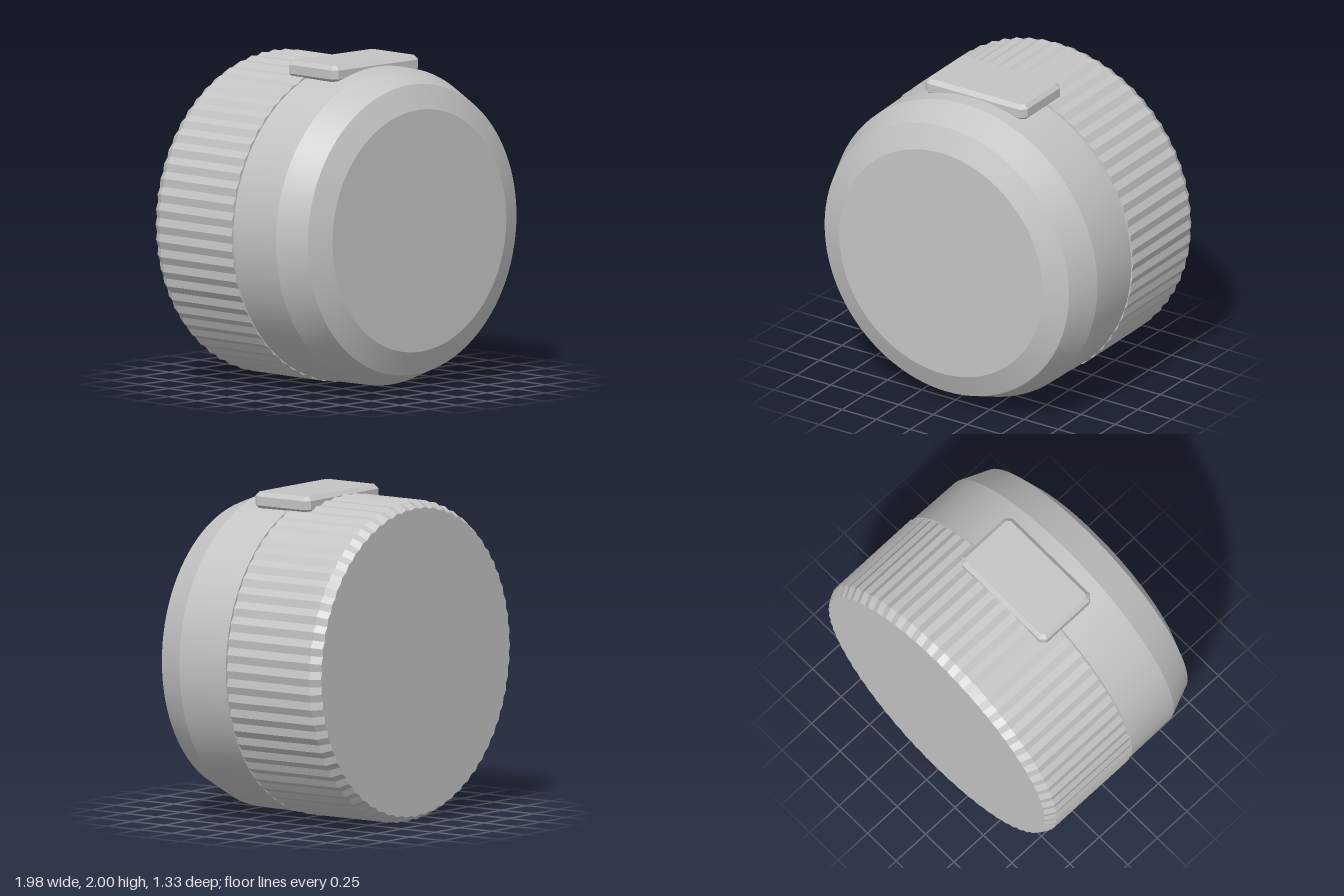
import * as THREE from 'three';
import { toCreasedNormals } from 'three/addons/utils/BufferGeometryUtils.js';

const CENTRE_Y = 0.99;

// Turn a [radius, z] profile (back to front) around the z axis.
function turned(profile, segments) {
  const points = profile.map(([r, z]) => new THREE.Vector2(r, z));
  return new THREE.LatheGeometry(points, segments).rotateX(Math.PI / 2);
}

export function createModel() {
  const group = new THREE.Group();
  const grey = new THREE.MeshStandardMaterial({ color: 0xc4c4c4 });
  grey.name = 'light grey';

  const add = (name, geometry, y, z) => {
    const mesh = new THREE.Mesh(geometry, grey);
    mesh.name = name;
    mesh.position.set(0, y, z);
    group.add(mesh);
  };

  // Smooth front half with two bevels
  const front = turned([[0, 0.043], [0.982, 0.043], [0.975, 0.405], [0.895, 0.6], [0.746, 0.663], [0, 0.663]], 96);
  add('frontLid', toCreasedNormals(front, 0.15), CENTRE_Y, 0);

  // Back half: every second column is pulled in to form the grip ribs
  const ribs = 64;
  const profile = [[0, -0.663], [0.953, -0.663], [0.99, -0.6], [0.99, 0.032], [0, 0.032]];
  const back = turned(profile, ribs * 2);
  const pos = back.attributes.position;
  for (let i = 0; i < pos.count; i++) {
    if (Math.floor(i / profile.length) % 2) {
      pos.setXY(i, pos.getX(i) * 0.988, pos.getY(i) * 0.988);
    }
  }
  add('ribbedBase', toCreasedNormals(back, 0.03), CENTRE_Y, 0);

  // Bevelled clip bridging both halves, with cut corners
  const bevel = 0.025, w = 0.373 - bevel, d = 0.214 - bevel, c = 0.018;
  const outline = new THREE.Shape([
    [-w + c, -d], [w - c, -d], [w, -d + c], [w, d - c],
    [w - c, d], [-w + c, d], [-w, d - c], [-w, -d + c],
  ].map(([x, y]) => new THREE.Vector2(x, y)));
  const clip = new THREE.ExtrudeGeometry(outline, {
    depth: 0.055, bevelThickness: bevel, bevelSize: bevel, bevelSegments: 1,
  });
  clip.rotateX(-Math.PI / 2);
  add('clip', toCreasedNormals(clip, 0.2), 1.895 + bevel, 0.092);

  // Small peg inside the seam
  add('seamPeg', new THREE.BoxGeometry(0.3, 0.03, 0.03), 1.775, 0.037);

  return group;
}
